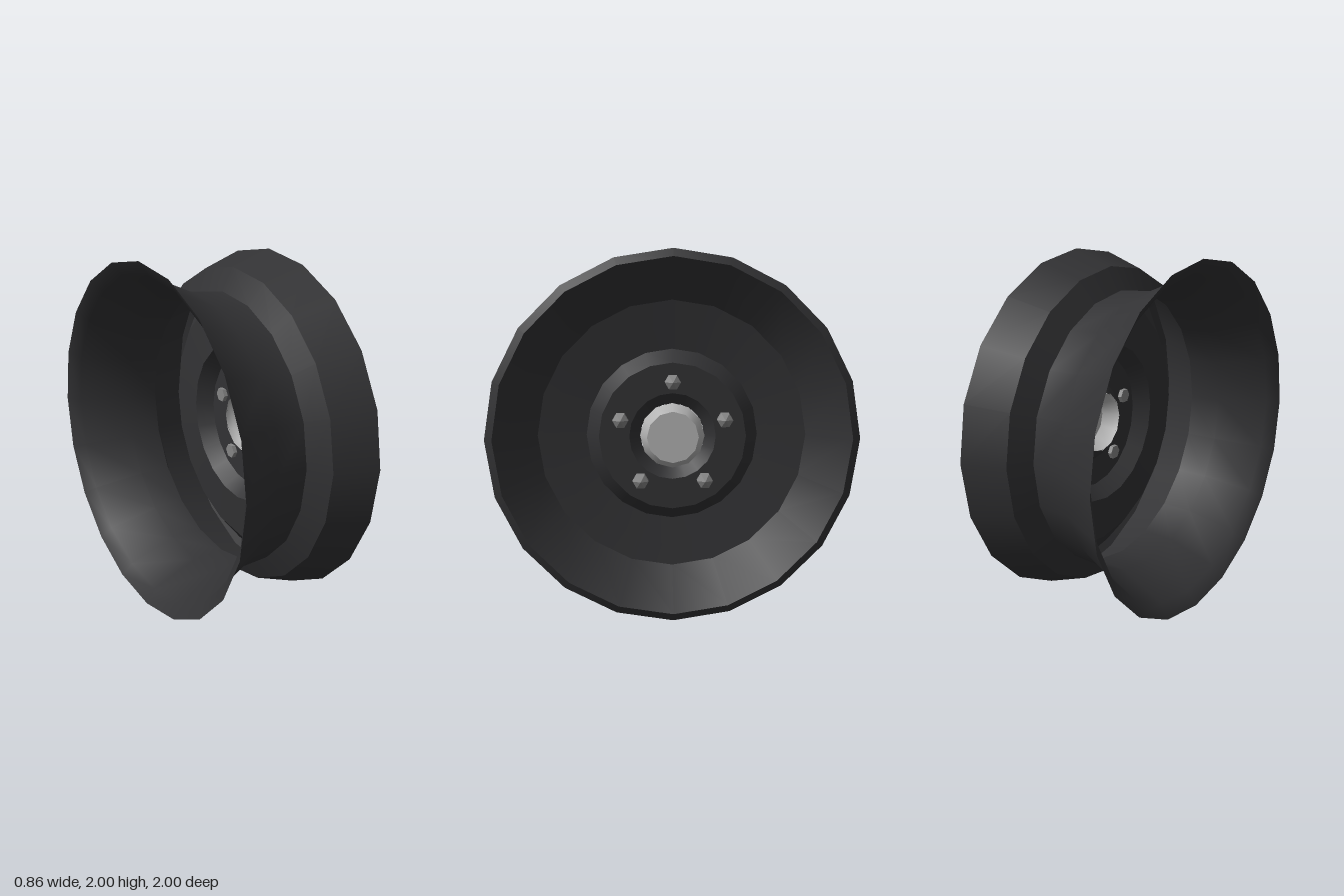
import * as THREE from 'three';

const paint = (color, flatShading = false) =>
  new THREE.MeshStandardMaterial({ color, flatShading, side: THREE.DoubleSide });

// Turned surface around the x axis; the profile is a list of [x, radius]
function turned(name, profile, sides, material) {
  const points = profile.map(([x, r]) => new THREE.Vector2(r, x));
  const geometry = new THREE.LatheGeometry(points, sides);
  geometry.rotateZ(-Math.PI / 2);
  const mesh = new THREE.Mesh(geometry, material);
  mesh.name = name;
  return mesh;
}

export function createModel() {
  const wheel = new THREE.Group();
  wheel.name = 'wheelRim';
  const dark = paint(0x323234);
  const bright = paint(0xb4b4b4);
  const steel = paint(0x858585, true);

  // Sheet-metal rim: each strip is smooth, with sharp edges between strips
  const strips = {
    barrel: [[-0.43, 1], [-0.375, 0.922], [-0.1, 0.803], [0.09, 0.79]],
    barrelStep: [[0.09, 0.79], [0.16, 0.918]],
    outerFlange: [[0.16, 0.918], [0.4, 1]],
    lip: [[0.4, 1], [0.425, 0.957]],
    dish: [[0.425, 0.957], [0.235, 0.735]],
    disc: [[0.235, 0.735], [0.205, 0.47]],
    hubStep: [[0.205, 0.47], [0.29, 0.4]],
    hubFace: [[0.29, 0.4], [0.29, 0.235]],
    hubHole: [[0.29, 0.235], [0.24, 0.174]],
  };
  for (const [name, profile] of Object.entries(strips)) {
    wheel.add(turned(name, profile, 20, dark));
  }

  // Centre cap with a chamfered side and a flat end
  wheel.add(turned('centreCapSide', [[0.235, 0.177], [0.275, 0.175], [0.335, 0.14]], 12, bright));
  wheel.add(turned('centreCapEnd', [[0.335, 0.14], [0.335, 0]], 12, bright));

  // Five pointed hexagonal wheel bolts
  for (let i = 0; i < 5; i++) {
    const a = (i / 5) * Math.PI * 2;
    const bolt = turned('wheelBolt',
      [[0.265, 0], [0.265, 0.043], [0.335, 0.043], [0.362, 0]], 6, steel);
    bolt.position.set(0, 0.297 * Math.cos(a), 0.297 * Math.sin(a));
    wheel.add(bolt);
  }

  // Stand the wheel on the ground
  for (const part of wheel.children) part.position.y += 1;
  return wheel;
}
